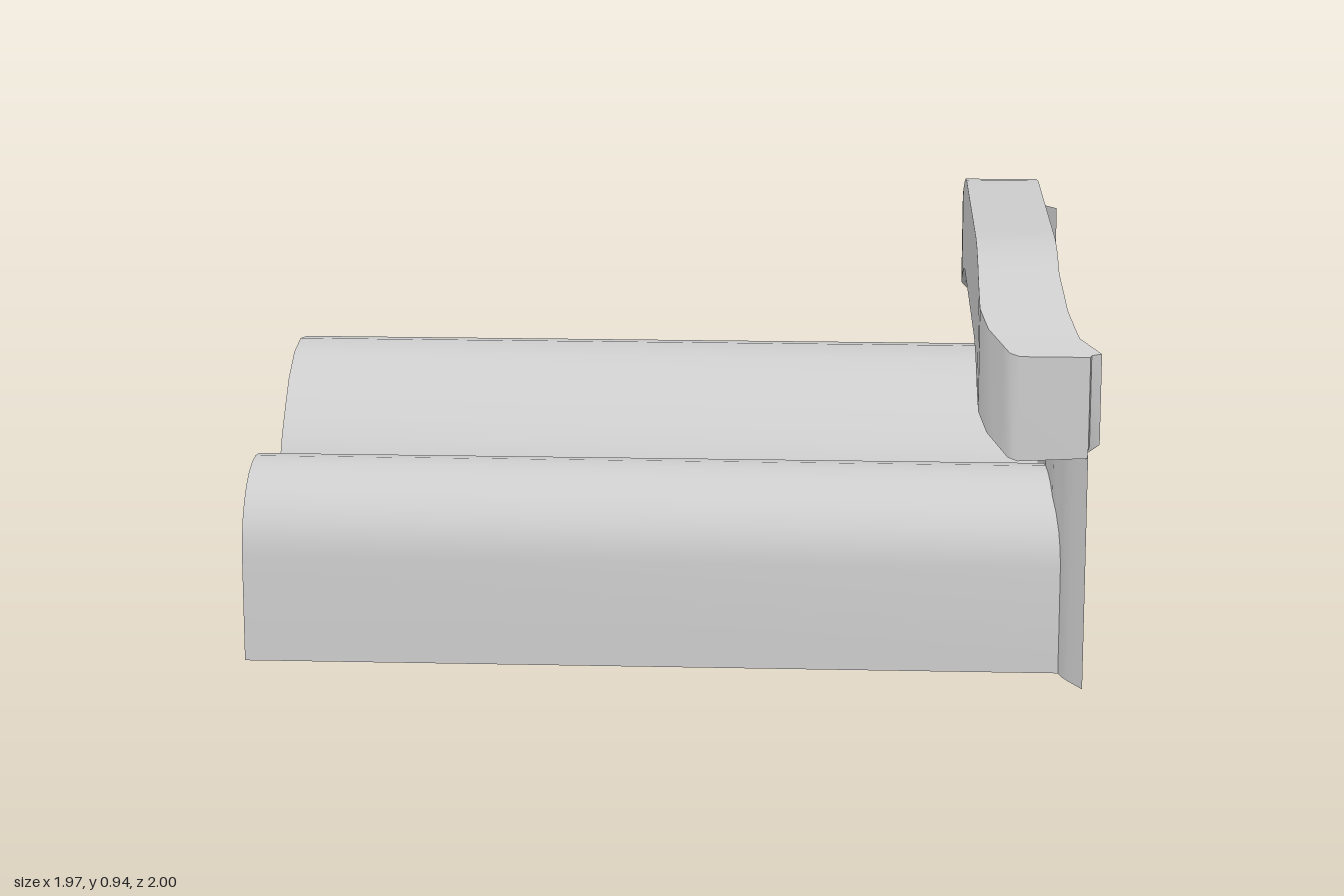
import * as THREE from 'three';
import { toCreasedNormals } from 'three/addons/utils/BufferGeometryUtils.js';

const BACK = -0.985; // far end of the vaults

// Piecewise linear curve through [input, output] pairs
const curve = (pts) => (v) => {
  for (let i = 1; i < pts.length; i++) {
    const [a, p] = pts[i - 1], [b, q] = pts[i];
    if (v <= b) return p + (q - p) * Math.max(0, (v - a) / (b - a));
  }
  return pts[pts.length - 1][1];
};

// Plan and elevation curves over the distance from the crown, |z|
const topY = curve([[0.44, 0.94], [0.53, 0.93], [0.61, 0.908], [0.757, 0.857], [0.87, 0.813], [1, 0.772]]);
const innerX = curve([[0.72, 0.715], [0.8, 0.716], [0.88, 0.733], [0.985, 0.778], [1, 0.8]]);
const outerX = curve([[0.65, 0.903], [0.8, 0.915], [0.918, 0.937], [0.985, 0.983], [0.992, 0.96], [1, 0.957]]);
const wallX = curve([[0.65, 0.878], [0.8, 0.89], [0.918, 0.917], [1, 0.957]]);

// Tooth edges along the underside of the parapet, alternating low / high
const edges = [0.05, 0.185, 0.32, 0.46, 0.57, 0.65, 0.725, 0.795, 0.88];
const knots = [0, 0.44, 0.53, 0.61, 0.69, 0.757, 0.8, 0.84, 0.918, 0.95, 0.985, 0.992, 1];

// Half arches as [distance from the centre, height], springing to crown
const bigHalf = [[0.378, 0], [0.378, 0.25], [0.345, 0.35], [0.31, 0.405], [0.265, 0.453], [0.19, 0.525], [0.1, 0.573], [0, 0.588]];
const smallHalf = [[0.205, 0], [0.205, 0.25]];
for (let i = 1; i <= 7; i++) {
  const a = (i / 7) * Math.PI / 2;
  smallHalf.push([0.205 * Math.cos(a), 0.25 + 0.193 * Math.sin(a)]);
}
const arch = (half, centre) => [
  ...half.map(([d, y]) => [centre - d, y]),
  ...half.slice(0, -1).reverse().map(([d, y]) => [centre + d, y]),
];
const arches = [arch(smallHalf, -0.675), arch(bigHalf, 0), arch(smallHalf, 0.675)];

// Skin between equal-length rows of points
function loft(rows, closed, caps) {
  const n = rows[0].length, index = [];
  for (let r = 0; r < rows.length - 1; r++) {
    for (let i = 0; i < (closed ? n : n - 1); i++) {
      const a = r * n + i, b = r * n + (i + 1) % n;
      index.push(a, b, b + n, a, b + n, a + n);
    }
  }
  if (caps) {
    const e = (rows.length - 1) * n;
    for (let i = 1; i < n - 1; i++) index.push(0, i + 1, i, e, e + i, e + i + 1);
  }
  const g = new THREE.BufferGeometry();
  g.setAttribute('position', new THREE.Float32BufferAttribute(rows.flat(2), 3));
  g.setIndex(index);
  g.computeVertexNormals();
  return g;
}

// Parapet: one cross-section per knot, two at each tooth edge
function parapetGeometry() {
  const half = [
    ...knots.map((d) => [d, edges.filter((e) => e < d).length % 2]),
    ...edges.flatMap((d, i) => [[d, i % 2], [d, (i + 1) % 2]]),
  ];
  // stable sort keeps the two sections of a tooth edge in order
  half.sort((a, b) => a[0] - b[0]);
  const stations = [
    ...half.slice(1).reverse().map(([d, h]) => [-d, h]),
    ...half,
  ];
  const rows = stations.map(([z, high]) => {
    const d = Math.abs(z), t = topY(d), xi = innerX(d), xo = outerX(d);
    return [
      [xi, t, z],
      [xi, t - 0.24, z],
      [Math.min(wallX(d), xo - 0.002), t - (high ? 0.232 : 0.24), z],
      [xo, t - (high ? 0.208 : 0.24), z],
      [xo, t, z],
    ];
  });
  return toCreasedNormals(loft(rows, true, true), 0.6);
}

// Wall: vertical strips from the arch line (or the ground) up to the parapet
function wallGeometry() {
  const line = [[-1, 0], ...arches.flat(), [1, 0]];
  const rows = [];
  line.forEach(([z, y], i) => {
    const column = (zz, yy) => {
      const d = Math.abs(zz);
      rows.push([[wallX(d), yy, zz], [wallX(d), topY(d) - 0.225, zz]]);
    };
    column(z, y);
    // extra columns keep wide strips on the curve
    const next = line[i + 1];
    if (next && next[0] - z > 0.05) {
      for (let k = 1; k < 4; k++) column(z + (next[0] - z) * k / 4, y + (next[1] - y) * k / 4);
    }
  });
  // rows run along +z and points run upward, so reverse to face +x
  return loft(rows.reverse(), false, false);
}

// Vault: the arch line swept back from the wall
const vaultGeometry = (line) => toCreasedNormals(loft(
  line.map(([z, y]) => [[BACK, y, z], [wallX(Math.abs(z)), y, z]]), false, false), 0.8);

export function createModel() {
  const group = new THREE.Group();
  const solid = new THREE.MeshStandardMaterial({ color: 0xcccccc });
  const sheet = new THREE.MeshStandardMaterial({ color: 0xcccccc, side: THREE.DoubleSide });
  const add = (name, geometry, material) => {
    const mesh = new THREE.Mesh(geometry, material);
    mesh.name = name;
    group.add(mesh);
  };
  add('parapet', parapetGeometry(), solid);
  add('archedWall', wallGeometry(), sheet);
  ['rightVault', 'centreVault', 'leftVault'].forEach((name, i) => add(name, vaultGeometry(arches[i]), sheet));
  return group;
}
